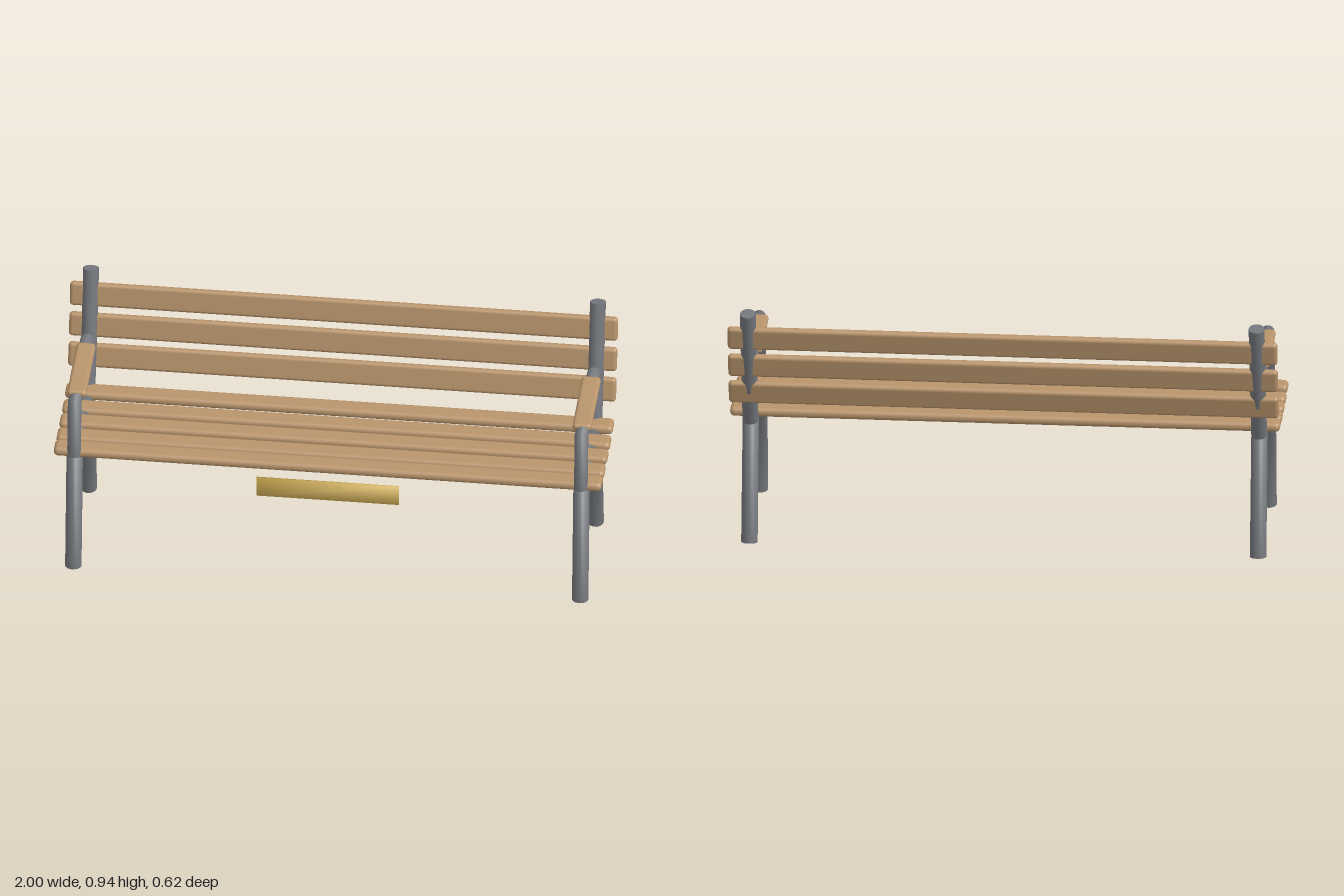
import * as THREE from 'three';
import { RoundedBoxGeometry } from 'three/addons/geometries/RoundedBoxGeometry.js';

const material = (name, color) => {
  const m = new THREE.MeshStandardMaterial({ color });
  m.name = name;
  return m;
};

// Capped pipe through [z, y] points; bend rings keep their radius, so short legs pinch at corners
function pipeGeometry(points, radius, sides = 14) {
  const path = points.map(([z, y]) => new THREE.Vector3(0, y, z));
  const xAxis = new THREE.Vector3(1, 0, 0);
  const pos = [], index = [];
  const rings = path.map((p, i) => {
    const t = new THREE.Vector3();
    if (i > 0) t.add(p.clone().sub(path[i - 1]).normalize());
    if (i < path.length - 1) t.add(path[i + 1].clone().sub(p).normalize());
    const v = t.normalize().clone().cross(xAxis);
    return Array.from({ length: sides }, (_, j) => {
      const a = (j / sides) * Math.PI * 2;
      return p.clone().addScaledVector(xAxis, radius * Math.cos(a)).addScaledVector(v, radius * Math.sin(a));
    });
  });
  const add = (p) => pos.push(p.x, p.y, p.z) / 3 - 1;
  const walls = rings.map((ring) => ring.map(add));
  for (let i = 0; i < walls.length - 1; i++) {
    for (let j = 0; j < sides; j++) {
      const k = (j + 1) % sides;
      const [a, b, c, d] = [walls[i][j], walls[i][k], walls[i + 1][j], walls[i + 1][k]];
      index.push(a, b, c, b, d, c);
    }
  }
  // End caps with their own vertices keep a crisp rim
  for (const end of [0, path.length - 1]) {
    const centre = add(path[end]);
    const rim = rings[end].map(add);
    for (let j = 0; j < sides; j++) {
      const k = (j + 1) % sides;
      index.push(centre, end ? rim[j] : rim[k], end ? rim[k] : rim[j]);
    }
  }
  const g = new THREE.BufferGeometry();
  g.setAttribute('position', new THREE.Float32BufferAttribute(pos, 3));
  g.setIndex(index);
  g.computeVertexNormals();
  return g;
}

export function createModel() {
  const wood = material('wood', 0xb8946b);
  const steel = material('steel', 0x74777c);
  const brass = material('brass', 0xd4b155);

  const bench = new THREE.Group();
  bench.name = 'bench';
  const addMesh = (name, geometry, mat, x = 0, y = 0, z = 0) => {
    const mesh = new THREE.Mesh(geometry, mat);
    mesh.name = name;
    mesh.position.set(x, y, z);
    bench.add(mesh);
    return mesh;
  };

  // Seat slats, the outer two slightly raised
  const seatSlat = new RoundedBoxGeometry(2, 0.035, 0.073, 3, 0.0165);
  [[0.232, 0.491], [0.143, 0.482], [0.053, 0.482], [-0.036, 0.482], [-0.127, 0.491]]
    .forEach(([z, y], i) => addMesh(`seatSlat${i + 1}`, seatSlat, wood, 0, y, z));

  // Back slats follow the lean of the posts
  const backSlat = new RoundedBoxGeometry(2, 0.092, 0.03, 3, 0.0135);
  [[-0.212, 0.596, 0.25], [-0.239, 0.711, 0.21], [-0.265, 0.828, 0.21]]
    .forEach(([z, y, lean], i) => {
      addMesh(`backSlat${i + 1}`, backSlat, wood, 0, y, z).rotation.x = -lean;
    });

  // Pipe frames and armrests, one set at each end
  const legFrame = pipeGeometry([[0.283, 0.007], [0.241, 0.457], [-0.139, 0.48], [-0.211, 0.005]], 0.03);
  const backPost = pipeGeometry([[-0.158, 0.463], [-0.219, 0.665], [-0.283, 0.931]], 0.029);
  const armPipe = pipeGeometry([[0.262, 0.484], [0.241, 0.702], [-0.157, 0.702]], 0.025);
  const armrest = new RoundedBoxGeometry(0.07, 0.03, 0.316, 3, 0.0135);
  for (const [side, x] of [['left', 0.925], ['right', -0.925]]) {
    addMesh(`${side}LegFrame`, legFrame, steel, x);
    addMesh(`${side}BackPost`, backPost, steel, x);
    addMesh(`${side}ArmPipe`, armPipe, steel, x);
    addMesh(`${side}Armrest`, armrest, wood, x * 0.997, 0.713, 0.052);
  }

  // Thin plaque below the seat front, with softened corner normals
  const plate = new THREE.BoxGeometry(0.52, 0.08, 0.006);
  const p = plate.attributes.position;
  const n = new THREE.Vector3();
  for (let i = 0; i < p.count; i++) {
    n.set(Math.sign(p.getX(i)), Math.sign(p.getY(i)), Math.sign(p.getZ(i))).normalize();
    plate.attributes.normal.setXYZ(i, n.x, n.y, n.z);
  }
  addMesh('plaque', plate, brass, 0, 0.388, 0.247);

  return bench;
}
